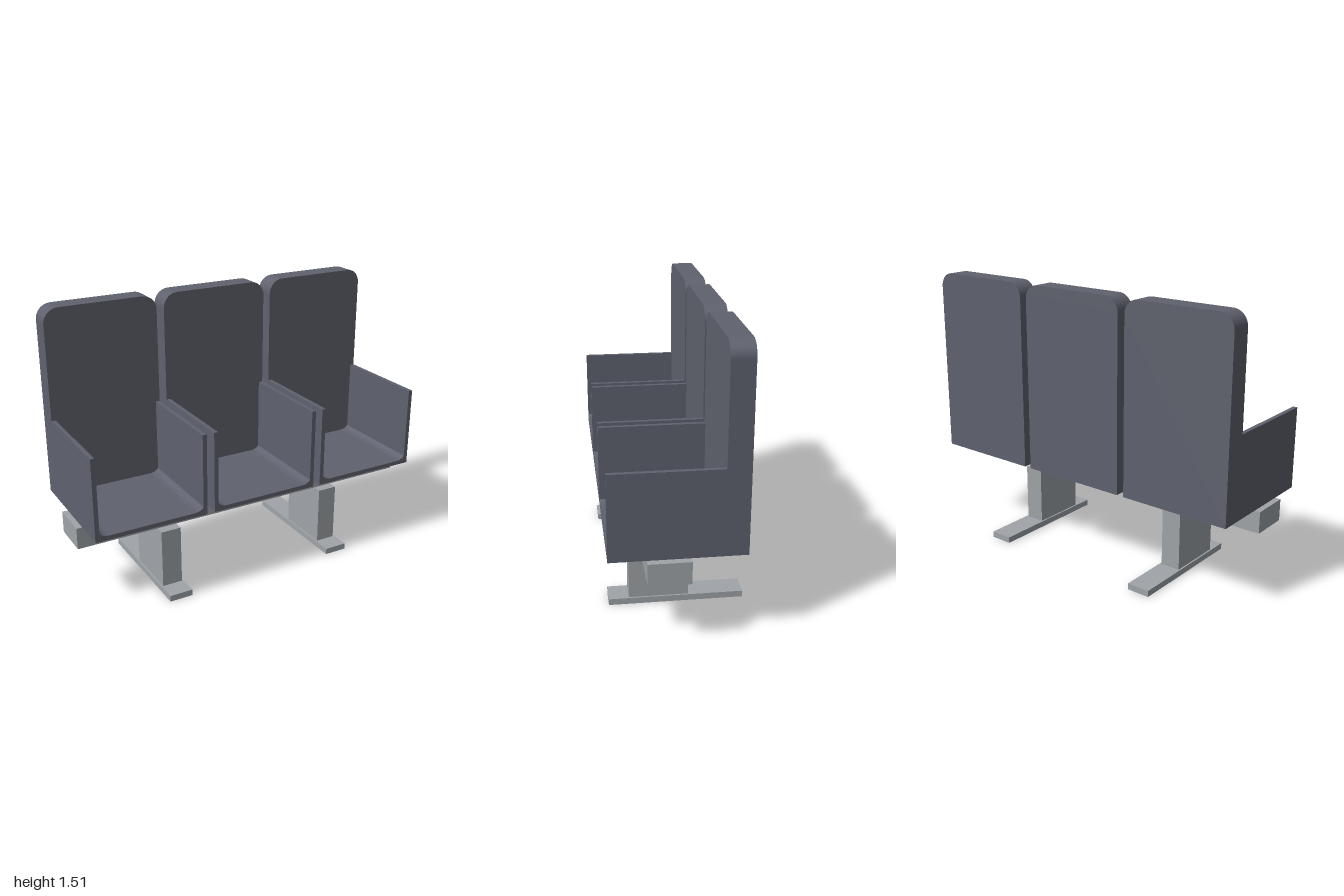
import * as THREE from 'three';

const upholstery = new THREE.MeshStandardMaterial({ color: 0x5f626e });
upholstery.name = 'slate upholstery';
const metal = new THREE.MeshStandardMaterial({ color: 0xa0a4a8 });
metal.name = 'grey metal';

// Box given by its lower and upper limits on each axis
function box(name, material, [x0, x1], [y0, y1], [z0, z1]) {
  const mesh = new THREE.Mesh(new THREE.BoxGeometry(x1 - x0, y1 - y0, z1 - z0), material);
  mesh.position.set((x0 + x1) / 2, (y0 + y1) / 2, (z0 + z1) / 2);
  mesh.name = name;
  return mesh;
}

// Profile in x and y, extruded from z0 to z1
function extrude(name, shape, z0, z1) {
  const geometry = new THREE.ExtrudeGeometry(shape, { depth: z1 - z0, bevelEnabled: false, curveSegments: 10 });
  const mesh = new THREE.Mesh(geometry, upholstery);
  mesh.position.z = z0;
  mesh.name = name;
  return mesh;
}

function createSeat() {
  const seat = new THREE.Group();
  const w = 0.308, bottom = 0.477, top = 1.515, r = 0.08;

  // Upright back panel with rounded top corners
  const back = new THREE.Shape();
  back.moveTo(-w, bottom);
  back.lineTo(w, bottom);
  back.lineTo(w, top - r);
  back.absarc(w - r, top - r, r, 0, Math.PI / 2);
  back.lineTo(-w + r, top);
  back.absarc(-w + r, top - r, r, Math.PI / 2, Math.PI);
  back.closePath();

  // Floor and two arm panels in one U, with softened inner corners
  const inner = w - 0.023, floor = 0.5, armTop = 0.922;
  const tub = new THREE.Shape();
  tub.moveTo(-w, bottom);
  tub.lineTo(w, bottom);
  tub.lineTo(w, armTop);
  tub.lineTo(inner, armTop);
  tub.lineTo(inner, floor + 0.023);
  tub.quadraticCurveTo(inner - 0.012, floor + 0.004, inner - 0.045, floor);
  tub.lineTo(-inner + 0.045, floor);
  tub.quadraticCurveTo(-inner + 0.012, floor + 0.004, -inner, floor + 0.023);
  tub.lineTo(-inner, armTop);
  tub.lineTo(-w, armTop);
  tub.closePath();

  seat.add(extrude('backrest', back, -0.302, -0.185));
  seat.add(extrude('seatAndArms', tub, -0.185, 0.367));
  return seat;
}

export function createModel() {
  const model = new THREE.Group();
  model.name = 'rowOfSeats';

  // Three seats side by side
  ['rightSeat', 'middleSeat', 'leftSeat'].forEach((name, i) => {
    const seat = createSeat();
    seat.name = name;
    seat.position.x = -0.003 + (i - 1) * 0.658;
    model.add(seat);
  });

  // Support beam under the seats
  model.add(box('beam', metal, [-1, 1], [0.36, 0.477], [-0.027, 0.184]));

  // Two legs, each a post on a long foot
  [['rightLeg', -0.503], ['leftLeg', 0.497]].forEach(([name, x]) => {
    const leg = new THREE.Group();
    leg.name = name;
    leg.position.x = x;
    leg.add(box('post', metal, [-0.056, 0.056], [0.034, 0.36], [-0.077, 0.236]));
    leg.add(box('foot', metal, [-0.065, 0.065], [0, 0.034], [-0.367, 0.343]));
    model.add(leg);
  });

  return model;
}
